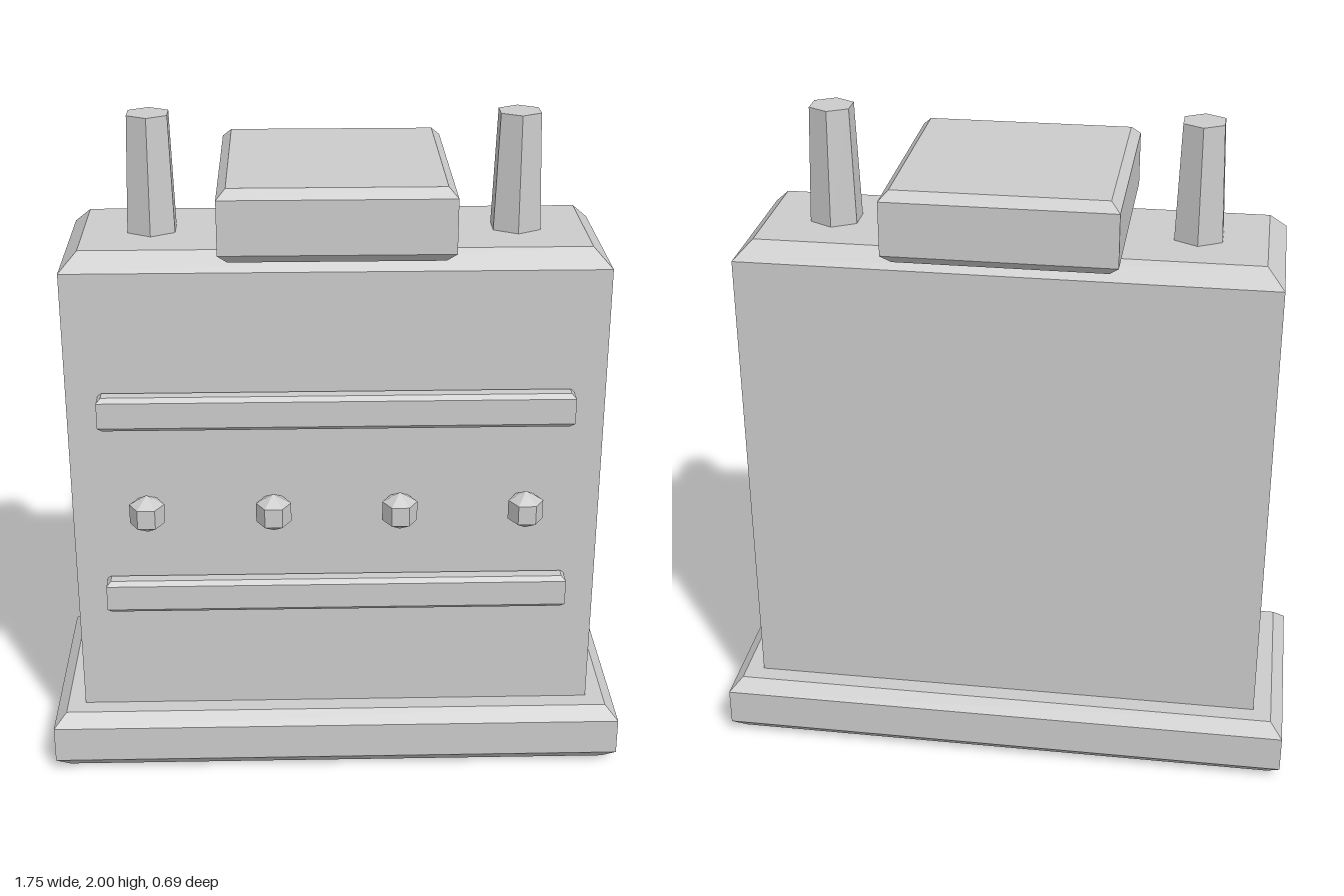
import * as THREE from 'three';

const grey = new THREE.MeshStandardMaterial({ color: 0xcccccc, flatShading: true });

export function createModel() {
  const model = new THREE.Group();

  const add = (name, geometry, x, y, z) => {
    const mesh = new THREE.Mesh(geometry, grey);
    mesh.name = name;
    mesh.position.set(x, y, z);
    model.add(mesh);
    return mesh;
  };

  // Box whose top and bottom rims are bevelled; vertical edges stay sharp
  const bevelledBox = (w, h, d, bevel) => {
    const geometry = new THREE.BoxGeometry(w, h, d, 1, 3, 1);
    const p = geometry.attributes.position;
    for (let i = 0; i < p.count; i++) {
      const y = p.getY(i);
      if (Math.abs(y) > h * 0.4) {
        p.setX(i, p.getX(i) - Math.sign(p.getX(i)) * bevel);
        p.setZ(i, p.getZ(i) - Math.sign(p.getZ(i)) * bevel);
      } else {
        p.setY(i, Math.sign(y) * (h / 2 - bevel));
      }
    }
    geometry.computeVertexNormals();
    return geometry;
  };

  // Plinth, body and the cap lying across the top
  add('base', bevelledBox(1.754, 0.19, 0.69, 0.038), 0, 0.095, 0);
  add('body', bevelledBox(1.57, 1.555, 0.505, 0.052), 0, 0.8785, 0);
  add('topCap', bevelledBox(0.664, 0.212, 0.69, 0.027), 0, 1.763, 0);

  // Tapered six-sided posts
  for (const side of [-1, 1]) {
    add(side > 0 ? 'leftPost' : 'rightPost',
      new THREE.CylinderGeometry(0.067, 0.08, 0.345, 6), side * 0.533, 1.8275, 0);
  }

  // Horizontal trim bars on the front
  for (const [name, y] of [['lowerBar', 0.592], ['upperBar', 1.191]]) {
    add(name, bevelledBox(1.386, 0.104, 0.06, 0.013), 0, y, 0.278);
  }

  // Row of faceted rivets between the bars
  for (let i = 0; i < 4; i++) {
    add('rivet' + (i + 1), new THREE.SphereGeometry(0.06, 6, 3), (i - 1.5) * 0.374, 0.871, 0.295);
  }

  return model;
}
